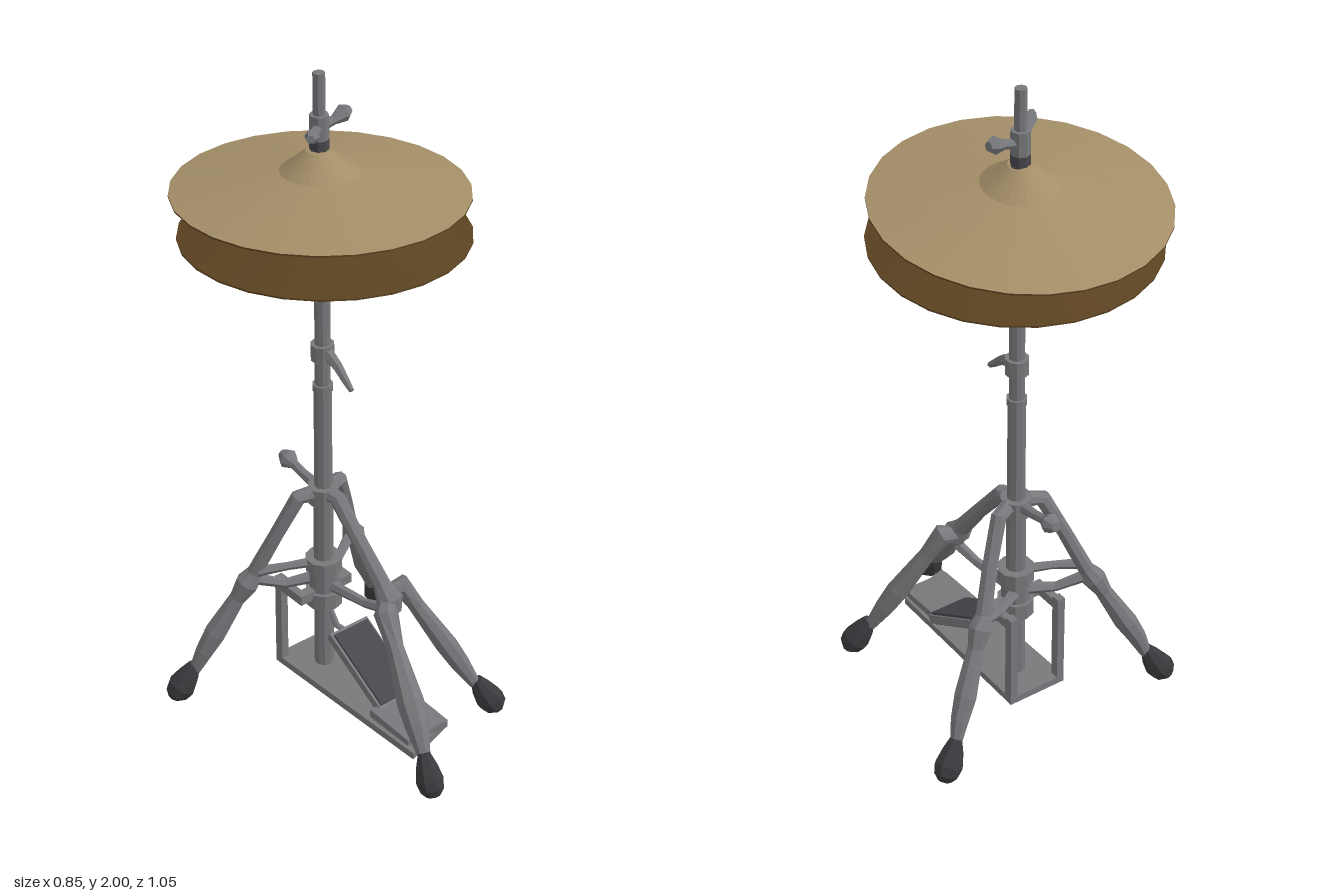
import * as THREE from 'three';

const mat = (name, color) => {
  const m = new THREE.MeshStandardMaterial({ color });
  m.name = name;
  return m;
};

export function createModel() {
  const steel = mat('steel', 0x76787b);
  const darkSteel = mat('dark steel', 0x47464b);
  const rubber = mat('rubber', 0x3a393d);
  const brass = mat('brass', 0xa48e68);
  const darkBrass = mat('dark brass', 0x5a4220);
  const root = new THREE.Group();
  root.name = 'hiHatStand';
  const PZ = -0.108; // z of the centre pole

  // Faceted mesh from any geometry
  function add(name, geo, material, parent = root) {
    const g = geo.index ? geo.toNonIndexed() : geo;
    g.computeVertexNormals();
    const m = new THREE.Mesh(g, material);
    m.name = name;
    parent.add(m);
    return m;
  }

  // Rod of varying thickness through stations [x, y, z, radius]
  function limb(name, stations, material, sides = 8, parent = root) {
    const pts = stations.map(s => new THREE.Vector3(s[0], s[1], s[2]));
    const n = pts.length, pos = [], idx = [];
    const whole = pts[n - 1].clone().sub(pts[0]).normalize();
    const ref = Math.abs(whole.y) > 0.95 ? new THREE.Vector3(0, 0, 1) : new THREE.Vector3(0, 1, 0);
    pts.forEach((p, i) => {
      const t = pts[Math.min(i + 1, n - 1)].clone().sub(pts[Math.max(i - 1, 0)]).normalize();
      const u = new THREE.Vector3().crossVectors(ref, t).normalize();
      const v = new THREE.Vector3().crossVectors(t, u);
      for (let k = 0; k < sides; k++) {
        const a = k / sides * Math.PI * 2, r = stations[i][3];
        const q = p.clone().addScaledVector(u, Math.cos(a) * r).addScaledVector(v, Math.sin(a) * r);
        pos.push(q.x, Math.max(q.y, 0), q.z);
      }
    });
    for (let i = 0; i < n - 1; i++) for (let k = 0; k < sides; k++) {
      const a = i * sides + k, b = i * sides + (k + 1) % sides;
      idx.push(a, b, a + sides, b, b + sides, a + sides);
    }
    const last = (n - 1) * sides;
    for (let k = 1; k < sides - 1; k++) {
      idx.push(0, k + 1, k, last, last + k, last + k + 1);
    }
    const g = new THREE.BufferGeometry();
    g.setAttribute('position', new THREE.Float32BufferAttribute(pos, 3));
    g.setIndex(idx);
    return add(name, g, material, parent);
  }

  function tube(name, y0, y1, r, material, sides = 10, x = 0, z = PZ) {
    const m = add(name, new THREE.CylinderGeometry(r, r, y1 - y0, sides), material);
    m.position.set(x, (y0 + y1) / 2, z);
  }

  function box(name, w, h, d, x, y, z, material = steel, rx = 0) {
    const m = add(name, new THREE.BoxGeometry(w, h, d), material);
    m.position.set(x, y, z);
    m.rotation.x = rx;
  }

  // Centre pole, telescoping upwards
  tube('lowerTube', 0.08, 0.7, 0.03, steel);
  tube('middleTube', 0.68, 1.05, 0.027, steel);
  tube('tubeCollar', 1.03, 1.05, 0.03, steel);
  tube('upperTube', 1.05, 1.32, 0.023, steel);
  tube('darkRod', 1.32, 1.78, 0.021, darkSteel);
  tube('topRod', 1.78, 2.0, 0.017, steel, 8, -0.007);
  tube('heightClamp', 1.13, 1.18, 0.034, steel);
  limb('clampHandle', [[0, 1.16, -0.09], [0, 1.135, -0.04], [0, 1.105, -0.005], [0, 1.085, 0.02]]
    .map((p, i) => [...p, [0.02, 0.015, 0.012, 0.008][i]]), steel, 6);

  // Clutch with wing bolt above the cymbals
  tube('clutch', 1.78, 1.81, 0.027, darkSteel, 8, -0.007);
  tube('clutchCollar', 1.81, 1.88, 0.027, steel, 8, -0.007);
  limb('wingRight', [[-0.01, 1.84, -0.11, 0.016], [-0.05, 1.85, -0.075, 0.013],
    [-0.08, 1.86, -0.047, 0.02], [-0.1, 1.865, -0.028, 0.012]], steel, 6);
  limb('wingLeft', [[-0.01, 1.84, -0.11, 0.016], [0.04, 1.85, -0.105, 0.013],
    [0.075, 1.86, -0.107, 0.025], [0.095, 1.863, -0.11, 0.014]], steel, 6);

  // Cymbals: an upper and an under skin each, slightly tilted
  function cymbal(name, y, z, scaleZ, tilt, profile, topMaterial) {
    const g = new THREE.Group();
    g.name = name;
    const skin = (part, pts, m) => add(part, new THREE.LatheGeometry(
      pts.map(p => new THREE.Vector2(p[0], p[1])), 26), m, g);
    skin('cymbalTop', profile, topMaterial);
    skin('cymbalUnderside', profile.map((p, i) => [p[0], p[1] - (i ? 0.007 : 0.005)]).reverse(), darkBrass);
    skin('cymbalRim', [[profile[0][0], profile[0][1] - 0.005], profile[0]], darkBrass);
    g.position.set(-0.012, y, z);
    g.rotation.set(-tilt, 0, -0.022);
    g.scale.z = scaleZ;
    root.add(g);
  }
  cymbal('topCymbal', 1.662, -0.1, 1.07, 0.058,
    [[0.396, 0], [0.25, 0.03], [0.105, 0.057], [0.07, 0.085], [0.035, 0.115], [0.001, 0.118]], brass);
  cymbal('bottomCymbal', 1.543, -0.08, 1.025, 0.043,
    [[0.396, 0], [0.25, 0.035], [0.11, 0.067], [0.04, 0.1], [0.001, 0.108]], darkBrass);

  // Tripod hub and its wing screw
  tube('tripodHub', 0.655, 0.71, 0.046, steel);
  limb('hubScrew', [[0, 0.69, -0.13, 0.018], [0, 0.7, -0.2, 0.014], [0, 0.71, -0.24, 0.014],
    [0, 0.715, -0.27, 0.03], [0, 0.72, -0.298, 0.015]], steel);

  // Rubber foot continuing the line of a leg
  function foot(x, z, dx, dz) {
    limb('rubberFoot', [[-0.042, 0.115, 0.018], [-0.022, 0.08, 0.033], [0, 0.045, 0.043],
      [0.016, 0.022, 0.036], [0.024, 0.006, 0.02]]
      .map(([s, y, r]) => [x + dx * s, y, z + dz * s, r]), rubber);
  }

  // Back legs, left and right
  for (const s of [-1, 1]) {
    limb('backLeg', [[s * 0.035, 0.69, -0.115, 0.024], [s * 0.075, 0.685, -0.13, 0.024],
      [s * 0.13, 0.56, -0.165, 0.022], [s * 0.18, 0.43, -0.205, 0.024], [s * 0.2, 0.395, -0.215, 0.036],
      [s * 0.225, 0.345, -0.23, 0.025], [s * 0.285, 0.225, -0.265, 0.034],
      [s * 0.315, 0.165, -0.28, 0.028], [s * 0.34, 0.1, -0.295, 0.018]], steel);
    foot(s * 0.378, -0.314, s * 0.9, -0.4);
    limb('legBrace', [[0, 0.385, -0.12, 0.02], [s * 0.1, 0.375, -0.165, 0.014],
      [s * 0.19, 0.41, -0.21, 0.018]], steel, 6);
  }

  // Front leg: one upper part that splits into two lower legs
  limb('frontLegUpper', [[0, 0.69, -0.08, 0.024], [0.005, 0.69, -0.05, 0.024],
    [0.015, 0.58, 0.04, 0.022], [0.03, 0.47, 0.12, 0.026], [0.035, 0.43, 0.15, 0.04],
    [0.035, 0.395, 0.165, 0.025]], steel);
  limb('frontLegRight', [[0.04, 0.44, 0.14, 0.022], [0.0, 0.41, 0.175, 0.036], [-0.02, 0.34, 0.24, 0.026],
    [-0.05, 0.22, 0.345, 0.042], [-0.062, 0.165, 0.39, 0.036], [-0.078, 0.1, 0.44, 0.019]], steel);
  foot(-0.092, 0.482, -0.25, 0.97);
  limb('frontLegLeft', [[0.035, 0.44, 0.13, 0.022], [0.085, 0.455, 0.14, 0.032], [0.12, 0.385, 0.165, 0.025],
    [0.19, 0.24, 0.225, 0.034], [0.22, 0.175, 0.25, 0.03], [0.255, 0.1, 0.28, 0.018]], steel);
  foot(0.29, 0.31, 0.8, 0.6);
  limb('frontBrace', [[0.035, 0.4, 0.16, 0.018], [0.02, 0.375, 0.06, 0.014], [0, 0.37, -0.1, 0.018]], steel, 6);
  limb('sideBrace', [[-0.18, 0.44, -0.19, 0.016], [-0.1, 0.445, -0.15, 0.012], [0, 0.445, PZ, 0.016]], steel, 6);

  // Brace collars on the pole
  tube('braceCollar', 0.3, 0.35, 0.055, steel);
  tube('braceCollarMiddle', 0.35, 0.42, 0.044, steel);
  tube('braceCollarTop', 0.42, 0.46, 0.055, steel);

  // Pedal frame behind the pole
  for (const s of [-1, 1]) {
    box('frameUpright', 0.024, 0.29, 0.028, s * 0.083, 0.225, -0.205);
    box('frameArm', 0.024, 0.03, 0.11, s * 0.083, 0.345, -0.155);
  }
  box('frameCrossbar', 0.19, 0.03, 0.03, 0, 0.345, -0.11);

  // Base plate with a slanted front edge
  const plan = new THREE.Shape([[-0.095, 0.22], [0.095, 0.22], [0.09, -0.345], [-0.08, -0.395]]
    .map(p => new THREE.Vector2(p[0], p[1])).reverse());
  const base = add('basePlate', new THREE.ExtrudeGeometry(plan, { depth: 0.022, bevelEnabled: false }), steel);
  base.rotation.x = -Math.PI / 2;
  base.position.y = 0.06;

  // Heel plate and raised footboard
  box('heelPlate', 0.15, 0.025, 0.17, 0.005, 0.092, 0.275, steel, 0.05);
  const board = new THREE.Group();
  board.name = 'footboard';
  board.position.set(0.025, 0.165, 0.085);
  board.rotation.x = 0.53;
  root.add(board);
  add('footboardBody', new THREE.BoxGeometry(0.14, 0.026, 0.27), steel, board);
  add('footboardPad', new THREE.BoxGeometry(0.125, 0.008, 0.25), darkSteel, board).position.y = 0.016;
  add('footboardUnderside', new THREE.BoxGeometry(0.125, 0.008, 0.25), darkSteel, board).position.y = -0.014;
  limb('pedalLink', [[0.02, 0.225, -0.02, 0.01], [0.01, 0.23, -0.06, 0.01], [0, 0.31, -0.1, 0.01]], steel, 6);

  return root;
}
